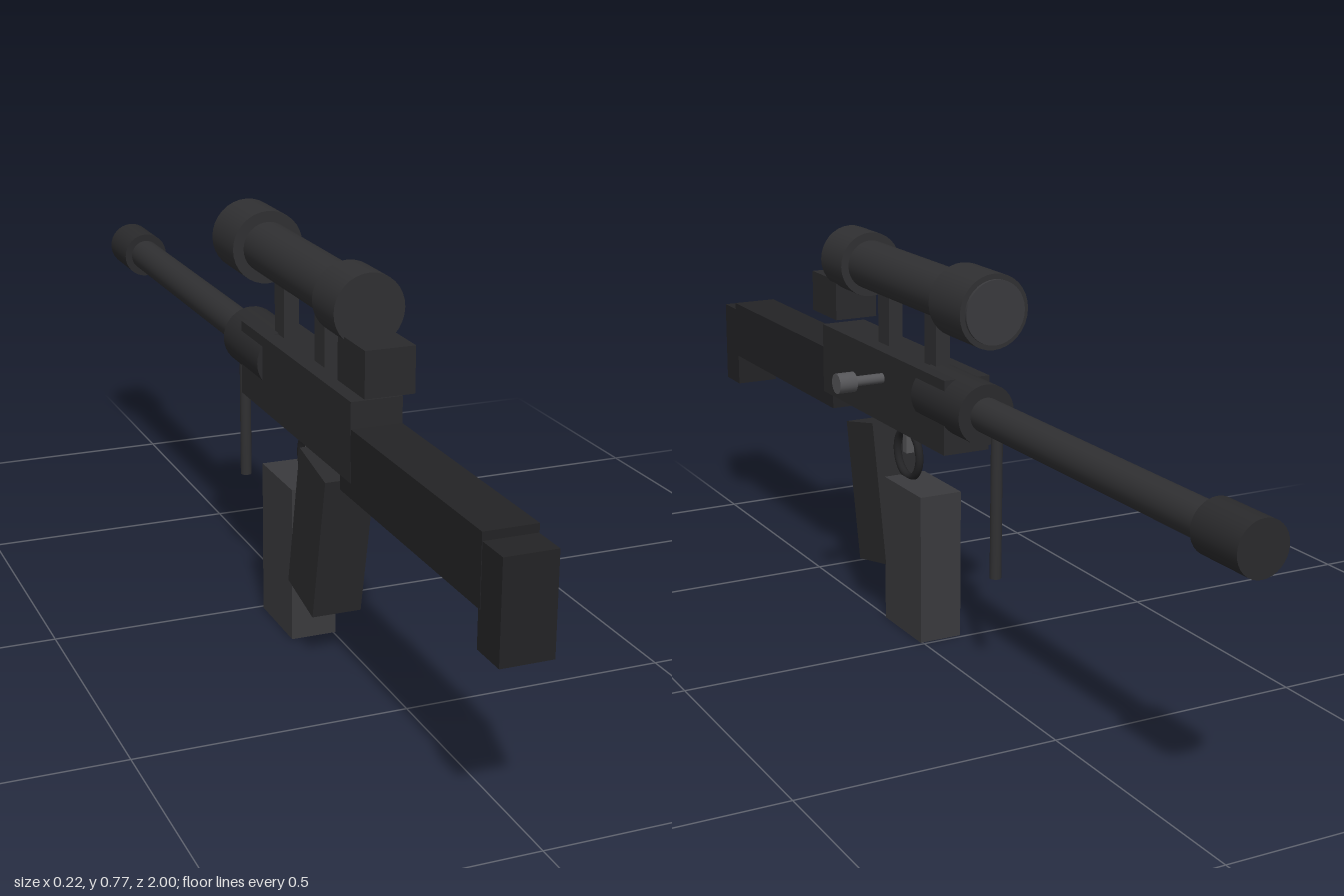
import * as THREE from 'three';

const CX = -0.04;      // centre plane of the body
const BORE = 0.503;    // barrel axis height
const SIGHT = 0.70;    // scope axis height

export function createModel() {
  const group = new THREE.Group();
  const mat = (color) => new THREE.MeshStandardMaterial({ color });
  const body = mat(0x2a2a2c), dark = mat(0x232325), metal = mat(0x303032);
  const light = mat(0x3a3a3d), steel = mat(0x555558);

  const add = (name, geometry, material, x, y, z) => {
    const mesh = new THREE.Mesh(geometry, material);
    mesh.name = name;
    mesh.position.set(x, y, z);
    group.add(mesh);
    return mesh;
  };
  // box given by its width and its y and z ranges
  const box = (name, material, w, y0, y1, z0, z1) =>
    add(name, new THREE.BoxGeometry(w, y1 - y0, z1 - z0), material, CX, (y0 + y1) / 2, (z0 + z1) / 2);
  // cylinder lying along z
  const tubeZ = (name, material, r, y, z0, z1) =>
    add(name, new THREE.CylinderGeometry(r, r, z1 - z0, 32).rotateX(Math.PI / 2), material, CX, y, (z0 + z1) / 2);
  // cylinder lying along x
  const tubeX = (name, material, r, x0, x1, y, z) =>
    add(name, new THREE.CylinderGeometry(r, r, x1 - x0, 24).rotateZ(Math.PI / 2), material, (x0 + x1) / 2, y, z);

  // stock and receiver
  box('buttPlate', dark, 0.092, 0.318, 0.493, 0.928, 1.0);
  box('stock', dark, 0.094, 0.385, 0.508, 0.40, 0.935);
  box('receiver', body, 0.095, 0.412, 0.556, -0.095, 0.445);

  // barrel
  tubeZ('barrelShroud', body, 0.058, BORE, -0.17, 0.02);
  tubeZ('barrel', metal, 0.033, BORE, -0.9, -0.1);
  tubeZ('muzzle', body, 0.048, BORE, -1.0, -0.882);

  // scope with mounts and cheek block
  tubeZ('scopeTube', metal, 0.049, SIGHT, -0.09, 0.33);
  tubeZ('scopeFrontBell', metal, 0.07, SIGHT, -0.195, -0.075);
  tubeZ('scopeFrontLens', light, 0.06, SIGHT, -0.201, -0.19);
  tubeZ('scopeRearBell', metal, 0.065, SIGHT, 0.313, 0.41);
  box('rearSightBlock', body, 0.091, 0.576, 0.659, 0.382, 0.498);
  for (const z of [0.024, 0.224]) box('scopeMount', metal, 0.03, 0.54, 0.67, z - 0.024, z + 0.024);

  // bolt handle
  tubeX('boltHandle', steel, 0.01, -0.02, 0.075, BORE, 0.165);
  tubeX('boltKnob', steel, 0.02, 0.07, 0.107, BORE, 0.165);

  // grip, magazine and trigger
  const grip = add('grip', new THREE.BoxGeometry(0.095, 0.287, 0.125), body, CX, 0.246, 0.243);
  grip.rotation.x = 0.205;
  box('magazine', light, 0.088, 0, 0.3, 0.007, 0.163);
  add('triggerGuard', new THREE.TorusGeometry(0.048, 0.008, 12, 40).rotateY(Math.PI / 2), dark, CX, 0.348, 0.146);
  box('trigger', steel, 0.016, 0.35, 0.415, 0.138, 0.154);

  // support leg under the barrel
  add('supportLeg', new THREE.CylinderGeometry(0.011, 0.011, 0.29, 20), metal, CX, 0.345, -0.21);

  return group;
}
